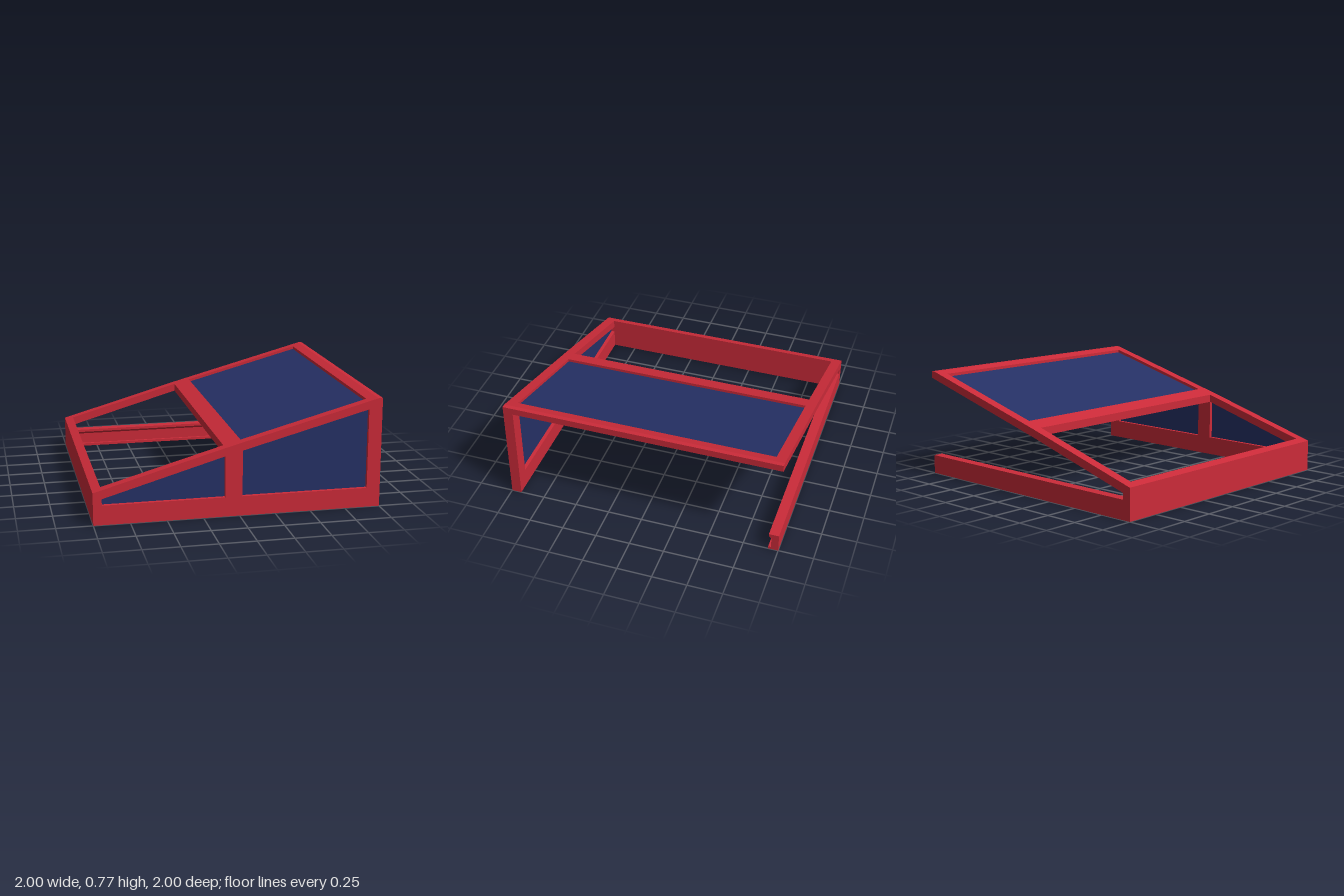
import * as THREE from 'three';

const red = new THREE.MeshStandardMaterial({ color: 0xcc2b39 });
const blue = new THREE.MeshStandardMaterial({ color: 0x263166 });

const Z = 0.928; // inner face of the front and back frames

// Roof line: gently bent at x = -0.1, flat at the high end
const top = (x) => (x < -0.1 ? 0.485 + (x + 0.1) * 0.2867 : Math.min(0.775, 0.485 + (x + 0.1) * 0.271));
const under = (x) => (x < -0.1 ? 0.425 + (x + 0.1) * 0.289 : 0.4275 + (x + 0.1) * 0.271);

const toShape = (pts) => new THREE.Shape(pts.map(([x, y]) => new THREE.Vector2(x, y)));

// Closed outline between two x positions, from a lower to an upper line
const slice = (x0, x1, lower, upper) => [[x0, lower(x0)], [x1, lower(x1)], [x1, upper(x1)], [x0, upper(x0)]];

export function createModel() {
  const group = new THREE.Group();

  const add = (name, shape, z0, z1, material = red) => {
    const geometry = new THREE.ExtrudeGeometry(shape, { depth: z1 - z0, bevelEnabled: false });
    geometry.translate(0, 0, z0);
    const mesh = new THREE.Mesh(geometry, material);
    mesh.name = name;
    group.add(mesh);
    return mesh;
  };

  const roofLine = [[1, 0.775], [0.97, 0.775], [-0.1, top(-0.1)], [-1, top(-1)]];
  const sill = () => 0.137;

  // Front frame with two window openings, and the panes set in them
  const windows = [slice(-0.94, -0.1, sill, under), slice(0.02, 0.905, sill, under)];
  const front = toShape([[-1, 0], [1, 0], ...roofLine]);
  windows.forEach((w) => front.holes.push(toShape(w)));
  add('frontFrame', front, Z, 1);
  windows.forEach((w, i) => add(`frontPane${i + 1}`, toShape(w), 0.955, 0.972, blue));

  // Back sloping rail and its short low post
  add('backSlopingRail', toShape([
    [-1, 0], [-0.94, 0], [-0.94, under(-0.94)], [-0.1, under(-0.1)], [1, under(1)], ...roofLine,
  ]), -1, -Z);

  // Back bottom rail, grooved along its inner face
  const rail = add('backBottomRail', toShape([
    [Z, 0], [1, 0], [1, 0.137], [Z, 0.137], [Z, 0.118], [0.948, 0.1], [0.948, 0.02], [Z, 0.02],
  ]), -0.94, 1);
  rail.geometry.rotateY(Math.PI / 2);

  // Low side wall
  add('lowWall', toShape(slice(-1, -0.94, () => 0, top)), -Z, Z);

  // Roof cross beams
  add('middleBeam', toShape(slice(-0.1, 0.02, under, top)), -Z, Z);
  add('highBeam', toShape([[0.905, under(0.905)], [1, under(1)], [1, 0.775], [0.97, 0.775], [0.905, top(0.905)]]), -Z, Z);

  // Roof pane, recessed between the beams
  const paneEdge = (offset) => (x) => under(x) + offset;
  add('roofPane', toShape(slice(0.02, 0.905, paneEdge(0.02), paneEdge(0.036))), -Z, Z, blue);

  return group;
}
